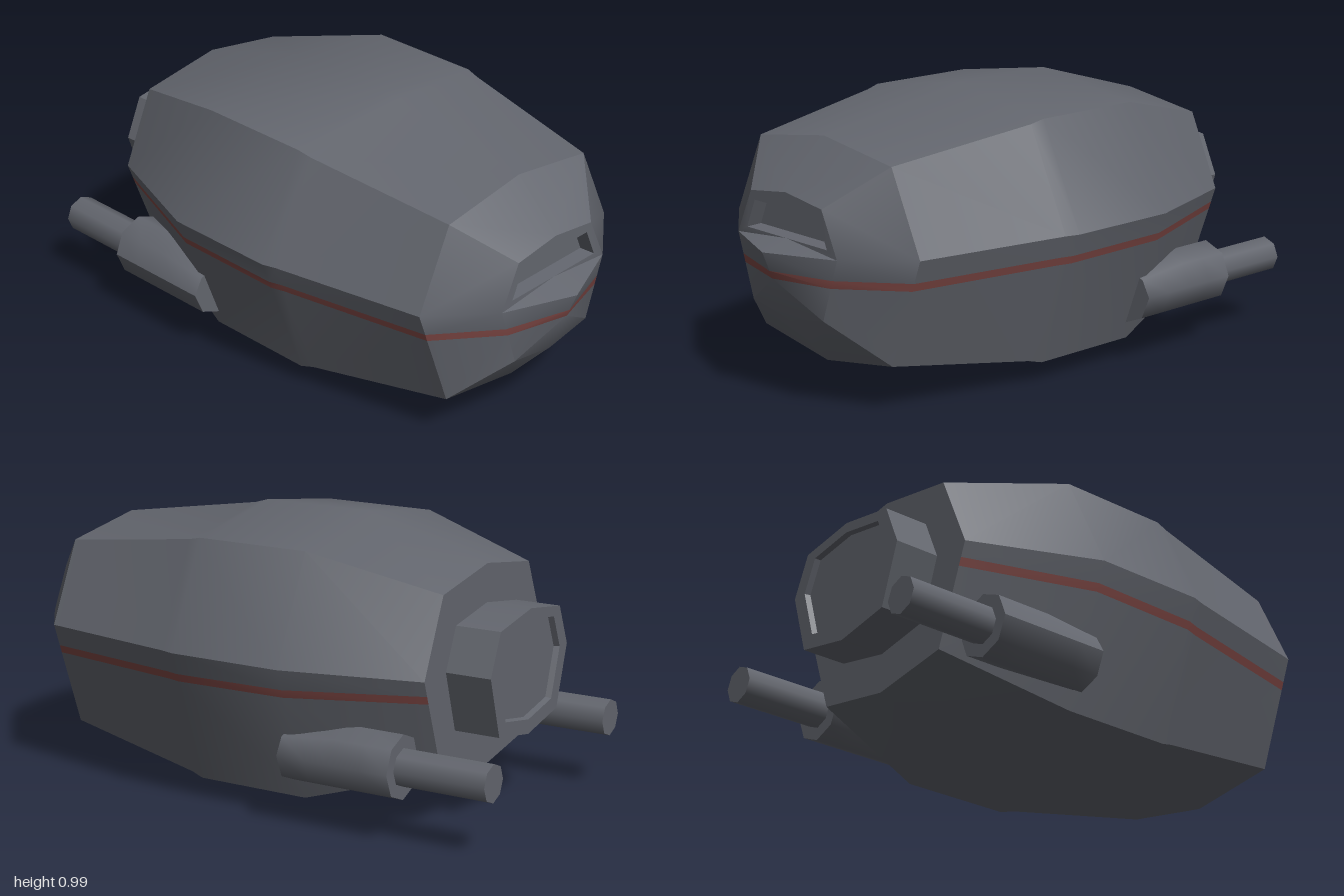
import * as THREE from 'three';
import { toCreasedNormals } from 'three/addons/utils/BufferGeometryUtils.js';

const hullGrey = new THREE.MeshStandardMaterial({ color: 0x63666e, name: 'hullGrey' });
const stripeRed = new THREE.MeshStandardMaterial({ color: 0x804845, name: 'stripeRed' });

const stripeY = (x) => [0.483 - 0.012 * x, 0.455 - 0.012 * x];

// Half cross-section (z >= 0) from top to bottom, with two extra points for the stripe
function halfRing([x, top, shY, shZ, eqY, eqZ, loY, loZ, bottom]) {
  const onSide = (y) => {
    const t = Math.min(1, Math.max(0, (eqY - y) / ((eqY - loY) || 1)));
    return [x, eqY + (loY - eqY) * t, eqZ + (loZ - eqZ) * t];
  };
  const [hi, lo] = stripeY(x);
  return [[x, top, 0], [x, shY, shZ], [x, eqY, eqZ], onSide(hi), onSide(lo), [x, loY, loZ], [x, bottom, 0]];
}

// Mirrors quads across z = 0 and turns them into a mesh
function mirroredMesh(name, quads, material) {
  const pos = [];
  const flip = ([x, y, z]) => [x, y, -z];
  for (const [a, b, c, d] of quads) {
    for (const p of [a, b, c, a, c, d]) pos.push(...p);
    for (const p of [c, b, a, d, c, a]) pos.push(...flip(p));
  }
  const geo = new THREE.BufferGeometry();
  geo.setAttribute('position', new THREE.Float32BufferAttribute(pos, 3));
  const mesh = new THREE.Mesh(toCreasedNormals(geo, 0.55), material);
  mesh.name = name;
  return mesh;
}

// Quads between neighbouring rings; band 3 is the stripe
function loft(rings, painted, grey, red) {
  for (let i = 0; i < rings.length - 1; i++) {
    for (let j = 0; j < 6; j++) {
      const quad = [rings[i][j + 1], rings[i + 1][j + 1], rings[i + 1][j], rings[i][j]];
      (painted && j === 3 ? red : grey).push(quad);
    }
  }
}

export function createModel() {
  const model = new THREE.Group();
  model.name = 'armouredPod';

  // x, top, shoulder y/z, equator y/z, lower edge y/z, bottom
  const hullRings = [
    [-0.735, 0.86, 0.81, 0.31, 0.545, 0.43, 0.2, 0.305, 0.15],
    [-0.28, 0.99, 0.925, 0.425, 0.56, 0.6, 0.075, 0.425, 0],
    [0.14, 0.99, 0.925, 0.425, 0.56, 0.6, 0.075, 0.425, 0],
    [0.19, 0.975, 0.913, 0.418, 0.56, 0.585, 0.088, 0.415, 0.015],
    [0.735, 0.89, 0.84, 0.34, 0.555, 0.475, 0.17, 0.335, 0.115],
    [0.9, 0.725, 0.7, 0.185, 0.545, 0.26, 0.325, 0.185, 0.295],
  ].map(halfRing);

  // Rear thruster block with a shallow recessed cap
  const thruster = (x, s) => halfRing([x, 0.545 + 0.18 * s, 0.545 + 0.145 * s, 0.22 * s, 0.545, 0.285 * s,
    0.545 - 0.215 * s, 0.215 * s, 0.545 - 0.255 * s]);
  const rearRings = [
    thruster(-0.88, 0), thruster(-0.88, 0.78), thruster(-0.9, 0.8),
    thruster(-0.9, 1), thruster(-0.735, 1), hullRings[0],
  ];

  const hull = [], rear = [], stripe = [];
  loft(hullRings, true, hull, stripe);
  loft(rearRings, false, rear, stripe);

  // Pointed lower nose
  const [T, S, E, Hi, Lo, L, B] = hullRings[5];
  const tip = [1, 0.54, 0];
  const onKeel = (y) => [1 - (0.54 - y) * 0.1 / 0.245, y, 0];
  const hiMid = onKeel(Hi[1]), loMid = onKeel(Lo[1]);
  hull.push([tip, E, Hi, hiMid], [loMid, Lo, L, B]);
  stripe.push([hiMid, Hi, Lo, loMid]);

  // Flat upper nose with a recessed viewing slot and a sloping shelf
  const W0 = [0.9, 0.67, 0], W1 = [0.9, 0.67, 0.165], W2 = [0.9, 0.57, 0.21], W3 = [0.9, 0.57, 0];
  const V0 = [0.85, 0.665, 0], V1 = [0.85, 0.665, 0.16], V2 = [0.85, 0.575, 0.2], V3 = [0.85, 0.575, 0];
  hull.push([T, S, W1, W0], [S, E, W2, W1], [W3, W2, E, tip]);
  const slot = [[W0, W1, V1, V0], [W1, W2, V2, V1], [W2, W3, V3, V2], [V0, V1, V2, V3]];

  model.add(
    mirroredMesh('hull', hull, hullGrey),
    mirroredMesh('rearThruster', rear, hullGrey),
    mirroredMesh('viewingSlot', slot, hullGrey),
    mirroredMesh('stripe', stripe, stripeRed),
  );

  // Side pods, each with a round tube pointing backward
  for (const side of [1, -1]) {
    const pod = new THREE.Group();
    pod.name = side > 0 ? 'leftPod' : 'rightPod';

    const housingGeo = new THREE.CylinderGeometry(0.112, 0.112, 0.42, 8, 4);
    housingGeo.rotateZ(-Math.PI / 2);
    const p = housingGeo.attributes.position;
    for (let i = 0; i < p.count; i++) {
      const drop = Math.max(0, p.getX(i)) / 0.21;
      if (p.getY(i) > 0) p.setY(i, p.getY(i) * (1 - 0.25 * drop));
    }
    housingGeo.computeVertexNormals();
    const housing = new THREE.Mesh(housingGeo, hullGrey);
    housing.name = 'podHousing';
    housing.position.x = -0.46;

    const tubeGeo = new THREE.CylinderGeometry(0.066, 0.066, 0.36, 8);
    tubeGeo.rotateZ(-Math.PI / 2);
    const tube = new THREE.Mesh(tubeGeo, hullGrey);
    tube.name = 'podTube';
    tube.position.x = -0.82;

    pod.add(housing, tube);
    pod.position.set(0, 0.253, 0.447 * side);
    model.add(pod);
  }
  return model;
}
